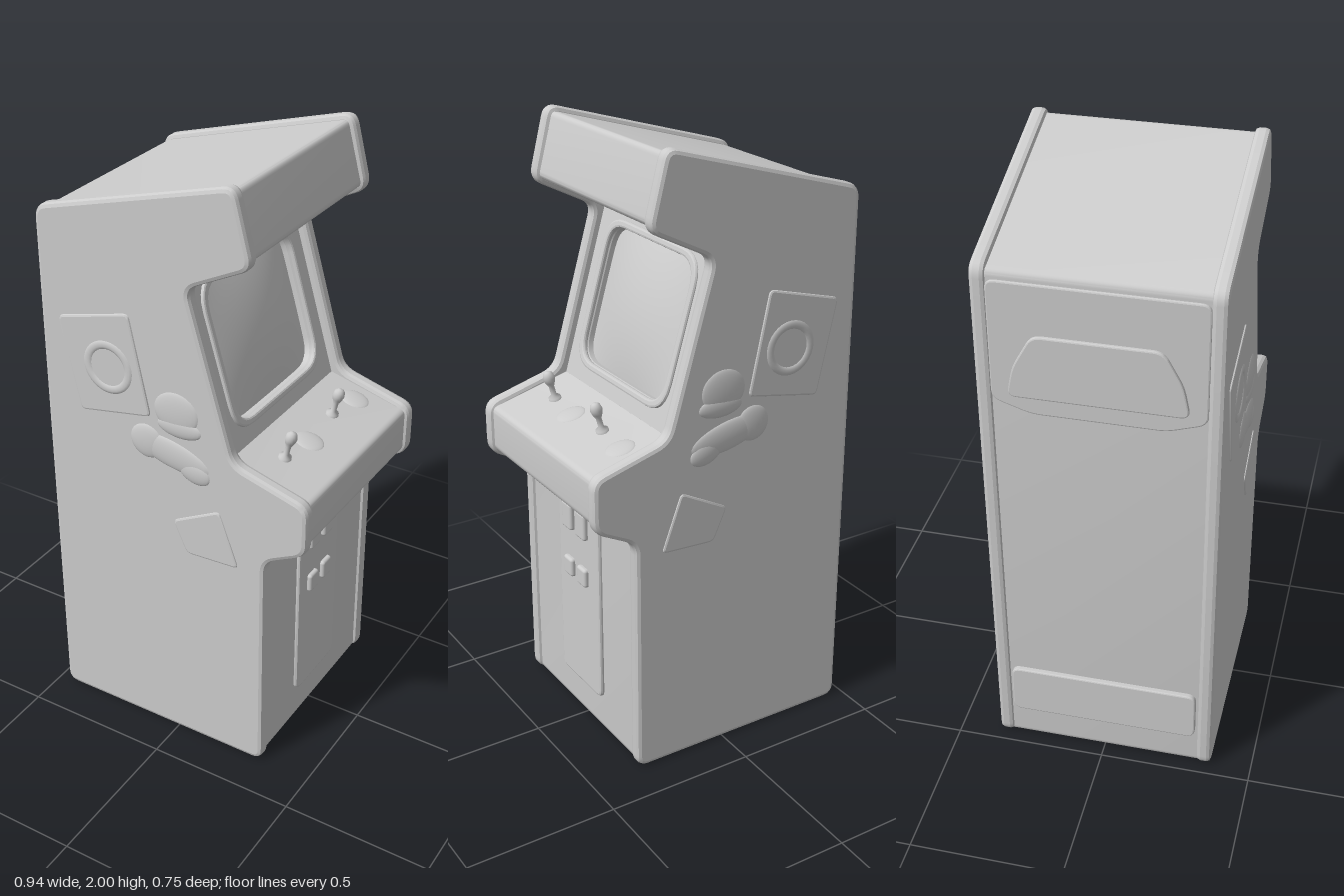
import * as THREE from 'three';
import { toCreasedNormals } from 'three/addons/utils/BufferGeometryUtils.js';
import { RoundedBoxGeometry } from 'three/addons/geometries/RoundedBoxGeometry.js';

// Closed outline with every corner rounded by up to r
function rounded(points, r, target = new THREE.Shape()) {
  const p = points.map(([x, y]) => new THREE.Vector2(x, y));
  p.forEach((c, i) => {
    const prev = p[(i + p.length - 1) % p.length], next = p[(i + 1) % p.length];
    const cut = (q) => c.clone().lerp(q, Math.min(0.45, r / c.distanceTo(q)));
    const a = cut(prev), b = cut(next);
    if (i === 0) target.moveTo(a.x, a.y); else target.lineTo(a.x, a.y);
    target.quadraticCurveTo(c.x, c.y, b.x, b.y);
  });
  target.closePath();
  return target;
}

// Bevelled slab in the xy plane, centred on z = 0
function slab(shape, thickness, bevel) {
  const depth = thickness - 2 * bevel;
  const geo = new THREE.ExtrudeGeometry(shape, {
    depth, curveSegments: 6, bevelEnabled: bevel > 0, bevelThickness: bevel,
    bevelSize: bevel, bevelOffset: -bevel, bevelSegments: 2,
  });
  geo.translate(0, 0, -depth / 2);
  return toCreasedNormals(geo, 0.38);
}

const rect = (x, y, w, h) => [
  [x - w / 2, y - h / 2], [x + w / 2, y - h / 2], [x + w / 2, y + h / 2], [x - w / 2, y + h / 2],
];

export function createModel() {
  const model = new THREE.Group();
  model.name = 'arcadeCabinet';
  const grey = new THREE.MeshStandardMaterial({ color: 0xcccccc });
  grey.name = 'light grey';

  const add = (name, geo, x = 0, y = 0, z = 0, parent = model) => {
    const mesh = new THREE.Mesh(geo, grey);
    mesh.name = name;
    mesh.position.set(x, y, z);
    parent.add(mesh);
    return mesh;
  };

  // Side panels
  const sideOutline = [
    [-0.467, 0], [0.328, 0], [0.328, 0.815], [0.47, 0.888], [0.47, 1.06], [0.215, 1.13],
    [0.06, 1.665], [0.278, 1.775], [0.218, 2.007], [-0.467, 1.81],
  ];
  const sideGeo = slab(rounded(sideOutline, 0.04), 0.048, 0.014);
  for (const s of [1, -1]) add(s > 0 ? 'leftSidePanel' : 'rightSidePanel', sideGeo, 0, 0, s * 0.341);

  // Inner body between the side panels
  const bodyOutline = [
    [-0.456, 0.005], [0.316, 0.005], [0.316, 0.825], [0.458, 0.9], [0.458, 1.048], [0.12, 1.135],
    [-0.02, 1.65], [0.262, 1.785], [0.208, 1.988], [-0.456, 1.797],
  ];
  add('body', slab(rounded(bodyOutline, 0.02), 0.66, 0));

  // Screen bezel, tilted back
  const monitor = new THREE.Group();
  monitor.name = 'monitor';
  const normal = new THREE.Vector3(0.96, 0.278, 0).normalize();
  const up = new THREE.Vector3(-normal.y, normal.x, 0);
  monitor.quaternion.setFromRotationMatrix(
    new THREE.Matrix4().makeBasis(new THREE.Vector3(0, 0, -1), up, normal));
  monitor.position.set(0.105, 1.395, 0);
  model.add(monitor);
  const frame = new THREE.Shape(rect(0, 0, 0.66, 0.6).map(([x, y]) => new THREE.Vector2(x, y)));
  frame.holes.push(rounded(rect(0, 0.012, 0.49, 0.45), 0.08, new THREE.Path()));
  add('bezel', slab(frame, 0.05, 0.012), 0, 0, -0.025, monitor);
  const lip = rounded(rect(0, 0.012, 0.54, 0.5), 0.1);
  lip.holes.push(rounded(rect(0, 0.012, 0.49, 0.45), 0.08, new THREE.Path()));
  add('screenSurround', slab(lip, 0.02, 0.007), 0, 0, 0, monitor);

  // Bulging screen glass
  const glass = new THREE.PlaneGeometry(0.52, 0.48, 20, 20);
  const gp = glass.attributes.position;
  for (let i = 0; i < gp.count; i++) {
    const u = gp.getX(i) / 0.26, v = gp.getY(i) / 0.24;
    gp.setZ(i, 0.03 * (1 - u * u) * (1 - v * v));
  }
  glass.computeVertexNormals();
  add('screen', glass, 0, 0.012, -0.032, monitor);

  // Joysticks and low buttons on the control deck
  const stickGeo = new THREE.LatheGeometry([
    [0.022, -0.01], [0.02, 0.006], [0.009, 0.014], [0.009, 0.045], [0.016, 0.062],
    [0.02, 0.077], [0.016, 0.092], [0.008, 0.099], [0, 0.1],
  ].map(([x, y]) => new THREE.Vector2(x, y)), 20);
  for (const z of [0.19, -0.115]) {
    add('joystick', stickGeo, 0.297, 1.092, z).rotation.z = -0.26;
    const button = add('buttonMound', new THREE.SphereGeometry(1, 20, 12), 0.31, 1.084, z - 0.13);
    button.scale.set(0.05, 0.009, 0.045);
    button.rotation.z = -0.25;
  }

  // Coin door with slots and return flaps
  const door = add('coinDoor', slab(rounded(rect(0, 0.48, 0.26, 0.7), 0.03), 0.03, 0.008), 0.314);
  door.rotation.y = Math.PI / 2;
  for (const z of [0.052, -0.035]) {
    add('coinSlot', new RoundedBoxGeometry(0.036, 0.095, 0.06, 3, 0.01), 0.327, 0.74, z);
    add('coinReturn', new RoundedBoxGeometry(0.034, 0.066, 0.055, 3, 0.01), 0.327, 0.553, z);
  }

  // Back: upper panel with a trapezoid handle, and a lower rail
  const backPlate = (name, points, thickness) => {
    add(name, slab(rounded(points, 0.03), thickness, 0.005), -0.456).rotation.y = Math.PI / 2;
  };
  backPlate('backUpperPanel', [[-0.32, 1.38], [-0.2, 1.34], [0.2, 1.34], [0.32, 1.38], [0.32, 1.77], [-0.32, 1.77]], 0.016);
  backPlate('backHandle', [[-0.27, 1.4], [0.27, 1.4], [0.25, 1.5], [0.19, 1.61], [-0.19, 1.61], [-0.25, 1.5]], 0.038);
  backPlate('backLowerRail', rect(0, 0.22, 0.62, 0.18), 0.034);

  // Soft raised decorations on both sides
  const poster = slab(rounded([[-0.4, 1.47], [-0.33, 1.16], [-0.07, 1.21], [-0.14, 1.54]], 0.02), 0.02, 0.007);
  const card = slab(rounded([[0.0, 0.86], [0.05, 0.75], [0.24, 0.76], [0.17, 0.95]], 0.02), 0.018, 0.007);
  const ring = new THREE.TorusGeometry(0.075, 0.016, 10, 32);
  const ball = new THREE.SphereGeometry(1, 24, 16);
  const blobs = [
    [0.02, 1.25, 0.08, 0.07, 0], [0.03, 1.2, 0.08, 0.035, 0], [-0.09, 1.12, 0.06, 0.06, 0.4],
    [0.0, 1.1, 0.14, 0.05, -0.2], [0.08, 1.06, 0.06, 0.04, -0.3],
  ];
  for (const s of [1, -1]) {
    add('sidePoster', poster, 0, 0, s * 0.361);
    add('sideCard', card, 0, 0, s * 0.361);
    add('sideRing', ring, -0.22, 1.34, s * 0.367).scale.z = 0.5;
    for (const [x, y, w, h, turn] of blobs) {
      const blob = add('sideBlob', ball, x, y, s * 0.362);
      blob.scale.set(w, h, 0.013);
      blob.rotation.z = turn;
    }
  }
  return model;
}
